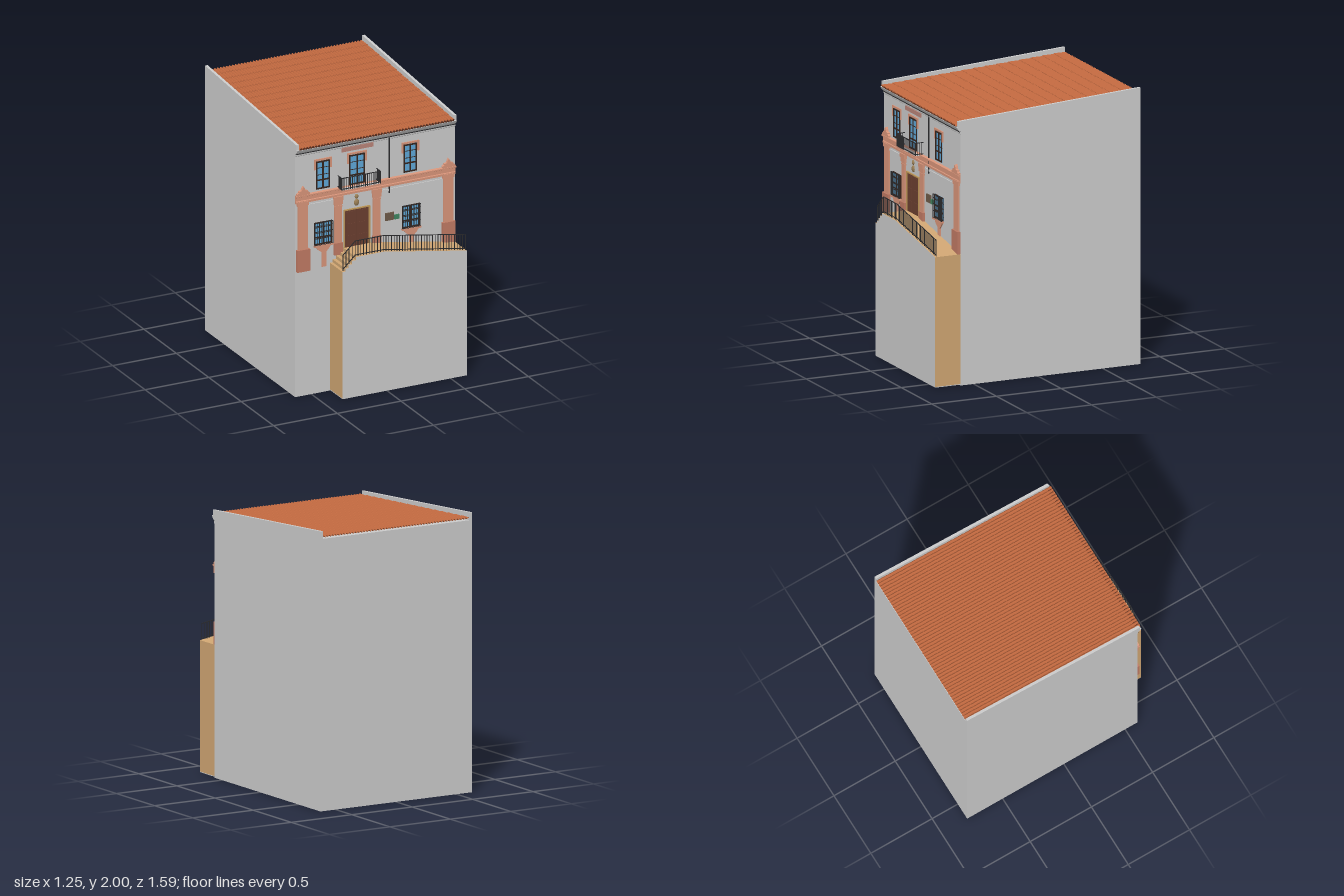
import * as THREE from 'three';

const mat = (color, extra = {}) => {
  const m = new THREE.MeshStandardMaterial({ color, ...extra });
  return m;
};

export function createModel() {
  const root = new THREE.Group();
  root.name = 'townHouse';
  const wall = mat(0xcccccc), stone = mat(0xd9957a), darkStone = mat(0xc07a64), iron = mat(0x2a2a2c);
  const wood = mat(0x6b3f30), frameWood = mat(0x35241d), glass = mat(0x5fa8d8), gold = mat(0xc09858);
  const sand = mat(0xcfa572), tile = mat(0xc0683f, { flatShading: true, side: THREE.DoubleSide });
  const tileDark = mat(0x5a2c1c), brown = mat(0x6e5a48), green = mat(0x3f8560), plaqueMat = mat(0xb98478);
  const F = 0.6; // facade plane

  const group = (name, parent = root) => {
    const g = new THREE.Group();
    g.name = name;
    parent.add(g);
    return g;
  };
  const add = (name, geo, m, parent = root) => {
    const mesh = new THREE.Mesh(geo, m);
    mesh.name = name;
    parent.add(mesh);
    return mesh;
  };
  const box = (name, m, x0, x1, y0, y1, z0, z1, parent) => {
    const mesh = add(name, new THREE.BoxGeometry(x1 - x0, y1 - y0, z1 - z0), m, parent);
    mesh.position.set((x0 + x1) / 2, (y0 + y1) / 2, (z0 + z1) / 2);
    return mesh;
  };
  const shapeOf = pts => new THREE.Shape(pts.map(p => new THREE.Vector2(...p)));
  // outline in (x, y), pushed along z
  const frontCut = (name, m, pts, z0, z1, parent) =>
    add(name, new THREE.ExtrudeGeometry(shapeOf(pts), { depth: z1 - z0, bevelEnabled: false }).translate(0, 0, z0), m, parent);
  // outline in (z, y), pushed along x
  const sideCut = (name, m, pts, x0, x1, parent) =>
    add(name, new THREE.ExtrudeGeometry(shapeOf(pts), { depth: x1 - x0, bevelEnabled: false })
      .rotateY(-Math.PI / 2).translate(x1, 0, 0), m, parent);
  // square bar in the xy plane
  const bar = (name, a, b, z, parent, t = 0.005) => {
    const mesh = add(name, new THREE.BoxGeometry(Math.hypot(b[0] - a[0], b[1] - a[1]), t, t), iron, parent);
    mesh.position.set((a[0] + b[0]) / 2, (a[1] + b[1]) / 2, z);
    mesh.rotation.z = Math.atan2(b[1] - a[1], b[0] - a[0]);
  };

  // Main block and the two sloping parapets
  sideCut('mainBlock', wall, [[F, 0], [F, 1.862], [-0.79, 1.945], [-0.79, 0]], -0.627, 0.627);
  for (const x of [-0.627, 0.607])
    sideCut('parapet', wall, [[F, 1.8], [F, 1.86], [0.62, 1.87], [0.62, 1.91], [-0.79, 2], [-0.79, 1.8]], x, x + 0.02);

  // Tiled roof: scalloped columns, overlapping rows
  const cols = 52, seg = 6, rows = 16, nx = cols * seg;
  const roof = new THREE.PlaneGeometry(1, 1, nx, rows * 2 - 1).rotateX(-Math.PI / 2);
  const pos = roof.attributes.position;
  for (let i = 0; i < pos.count; i++) {
    const ix = i % (nx + 1), iz = Math.floor(i / (nx + 1)), end = iz % 2;
    const t = (Math.floor(iz / 2) + end) / rows;
    const arch = Math.sin(Math.PI * (ix % seg) / seg);
    pos.setXYZ(i, -0.61 + 1.22 * ix / nx, 1.954 - 0.082 * t + 0.013 * arch + 0.005 * end, -0.79 + 1.425 * t);
  }
  roof.computeVertexNormals();
  add('roofTiles', roof, tile);
  box('eaveShadow', tileDark, -0.607, 0.607, 1.868, 1.88, F, 0.628);

  // Mouldings across the facade
  sideCut('topCornice', wall, [[F, 1.815], [0.606, 1.82], [0.608, 1.838], [0.62, 1.85], [0.632, 1.87], [F, 1.87]], -0.627, 0.627);
  box('corniceLine', iron, -0.627, 0.627, 1.832, 1.838, F, 0.61);
  sideCut('midCornice', stone, [[F, 1.46], [0.612, 1.46], [0.612, 1.475], [0.608, 1.48], [0.608, 1.505],
    [0.622, 1.512], [0.622, 1.522], [F, 1.525]], -0.627, 0.627);
  for (const [a, b] of [[-0.53, -0.33], [0.035, 0.53]]) box('stringCourse', wall, a, b, 1.427, 1.44, F, 0.607);

  // Corner pilasters with pinnacles
  for (const s of [-1, 1]) {
    const g = group('cornerPilaster'), x = s * 0.57;
    box('pilasterBase', darkStone, x - 0.05, x + 0.05, 0.945, 1.11, F, 0.622, g);
    box('pilasterShaft', stone, x - 0.038, x + 0.038, 1.11, 1.46, F, 0.612, g);
    box('pilasterCapital', stone, x - 0.045, x + 0.045, 1.44, 1.47, F, 0.616, g);
    const half = [[0.05, 1.52], [0.05, 1.535], [0.035, 1.545], [0.035, 1.552], [0.015, 1.558], [0.008, 1.575]];
    frontCut('pinnacle', stone, [...half.map(p => [x + p[0], p[1]]), [x, 1.588],
      ...half.slice().reverse().map(p => [x - p[0], p[1]])], F, 0.62, g);
  }

  // Door between two pilasters
  for (const x of [-0.294, 0.008]) {
    const g = group('doorPilaster');
    box('pilasterBase', darkStone, x - 0.032, x + 0.032, 1.02, 1.11, F, 0.618, g);
    box('pilasterShaft', stone, x - 0.027, x + 0.027, 1.11, 1.46, F, 0.612, g);
    [[0.03, 1.38, 1.39], [0.033, 1.4, 1.43], [0.037, 1.43, 1.46]].forEach(([w, a, b], i) =>
      box('pilasterCapital', stone, x - w, x + w, a, b, F, 0.614 + i * 0.003, g));
  }
  const door = group('door');
  frontCut('doorFrame', gold, [[-0.249, 1.06], [-0.24, 1.06], [-0.24, 1.337], [-0.052, 1.337], [-0.052, 1.06],
    [-0.043, 1.06], [-0.043, 1.346], [-0.249, 1.346]], F, 0.61, door);
  for (const x of [-0.24, -0.145]) {
    box('doorLeaf', wood, x, x + 0.093, 1.06, 1.337, F, 0.604, door);
    for (const y of [1.075, 1.165, 1.255]) box('doorPanel', wood, x + 0.015, x + 0.078, y, y + 0.07, F, 0.607, door);
  }
  const emblem = group('wallOrnament');
  for (const [y, r, h] of [[1.385, 0.02, 0.026], [1.43, 0.014, 0.018]]) {
    const e = add('ornamentDisc', new THREE.SphereGeometry(1, 14, 8), mat(0x9b7f55), emblem);
    e.scale.set(r, h, 0.012);
    e.position.set(-0.146, y, F);
  }

  // Windows: glass, dark frame, optional bars and surround
  const windowAt = (name, x0, x1, y0, y1, grille) => {
    const g = group(name), cx = (x0 + x1) / 2, t = 0.01;
    box('glass', glass, x0, x1, y0, y1, F, 0.602, g);
    for (const x of [x0, cx - t / 2, x1 - t]) box('frameUpright', frameWood, x, x + t, y0, y1, F, 0.607, g);
    for (const y of [y0, y0 + (y1 - y0) * 0.3, y1 - t]) box('frameRail', frameWood, x0, x1, y, y + t, F, 0.607, g);
    for (const k of [0.5, 0.75]) {
      const y = y0 + (y1 - y0) * k;
      box('glazingBar', frameWood, x0, x1, y, y + 0.004, F, 0.605, g);
    }
    if (grille) {
      for (let i = 0; i <= 8; i++) {
        const x = x0 + (x1 - x0) * i / 8;
        bar('grilleBar', [x, y0], [x, y1], 0.617, g, 0.004);
      }
      for (const k of [0, 0.3, 0.6, 0.85, 1]) {
        const y = y0 + (y1 - y0) * k;
        bar('grilleRail', [x0, y], [x1, y], 0.617, g, 0.004);
      }
    } else {
      const o = 0.016, d = y1 - 0.06;
      frontCut('windowSurround', stone, [[x0 - o, d], [x0 - 0.004, d], [x0 - 0.004, y1 + 0.004], [x1 + 0.004, y1 + 0.004],
        [x1 + 0.004, d], [x1 + o, d], [x1 + o, y1 + 0.018], [x0 - o, y1 + 0.018]], F, 0.608, g);
    }
  };
  windowAt('upperWindowRight', -0.465, -0.358, 1.54, 1.75, false);
  windowAt('balconyDoor', -0.205, -0.082, 1.525, 1.75, false);
  windowAt('upperWindowLeft', 0.223, 0.327, 1.54, 1.75, false);
  for (const x of [-0.41, 0.28]) {
    windowAt('lowerWindow', x - 0.07, x + 0.07, 1.12, 1.29, true);
    const g = group('windowBracket');
    box('sill', stone, x - 0.075, x + 0.075, 1.108, 1.12, F, 0.622, g);
    frontCut('bracket', stone, [[x - 0.06, 1.108], [x - 0.045, 1.085], [x - 0.012, 1.06], [x - 0.012, 0.95],
      [x + 0.022, 0.95], [x + 0.022, 1.06], [x + 0.045, 1.085], [x + 0.06, 1.108]], F, 0.61, g);
  }

  // Balcony
  const balcony = group('balcony');
  box('balconySlab', stone, -0.293, 0.013, 1.508, 1.518, F, 0.662, balcony);
  box('balconyFloor', wall, -0.288, 0.008, 1.518, 1.522, F, 0.658, balcony);
  for (const y of [1.53, 1.612]) {
    bar('balconyRail', [-0.293, y], [0.013, y], 0.66, balcony);
    for (const x of [-0.291, 0.011]) box('sideRail', iron, x - 0.0025, x + 0.0025, y - 0.0025, y + 0.0025, F, 0.66, balcony);
  }
  for (let i = 0; i <= 18; i++) {
    const x = -0.291 + 0.302 * i / 18;
    bar('balconyBar', [x, 1.52], [x, 1.612], 0.66, balcony, 0.004);
  }
  for (const x of [-0.291, 0.011])
    for (const z of [0.615, 0.63, 0.645]) bar('balconyBar', [x, 1.52], [x, 1.612], z, balcony, 0.004);

  // Small wall fittings
  box('namePlaque', plaqueMat, -0.265, -0.015, 1.785, 1.815, F, 0.608);
  box('drainPipe', iron, 0.104, 0.112, 1.41, 1.83, F, 0.608);
  box('noticeBoard', brown, 0.077, 0.145, 1.203, 1.26, F, 0.61);
  box('greenBoard', green, 0.15, 0.186, 1.203, 1.237, F, 0.61);

  // Entrance terrace: steps on one side, long ramp on the other
  const terrace = group('terrace');
  const outline = [[-0.355, 0.01], [0.622, 0.01], [0.622, 0.948], [-0.03, 1.06], [-0.25, 1.06], [-0.25, 1.037], [-0.28, 1.037],
    [-0.28, 1.012], [-0.307, 1.012], [-0.307, 0.988], [-0.333, 0.988], [-0.333, 0.966], [-0.355, 0.966]];
  frontCut('rampAndSteps', [wall, sand], outline, F, 0.795, terrace);
  box('terraceUnderside', wall, -0.355, 0.622, 0.005, 0.01, F, 0.795, terrace);

  // Handrail following the terrace edge
  const rail = group('handrail');
  const path = [[-0.345, 0.97], [-0.25, 1.06], [-0.03, 1.06], [0.615, 0.95]];
  for (let i = 0; i < 3; i++) {
    const [a, b] = [path[i], path[i + 1]];
    for (const h of [0.012, 0.118]) bar('rail', [a[0], a[1] + h], [b[0], b[1] + h], 0.784, rail);
    const n = Math.round((b[0] - a[0]) / 0.0215);
    for (let k = i ? 1 : 0; k <= n; k++) {
      const x = a[0] + (b[0] - a[0]) * k / n, y = a[1] + (b[1] - a[1]) * k / n;
      bar('baluster', [x, y], [x, y + 0.118], 0.784, rail, 0.004);
    }
  }
  return root;
}
